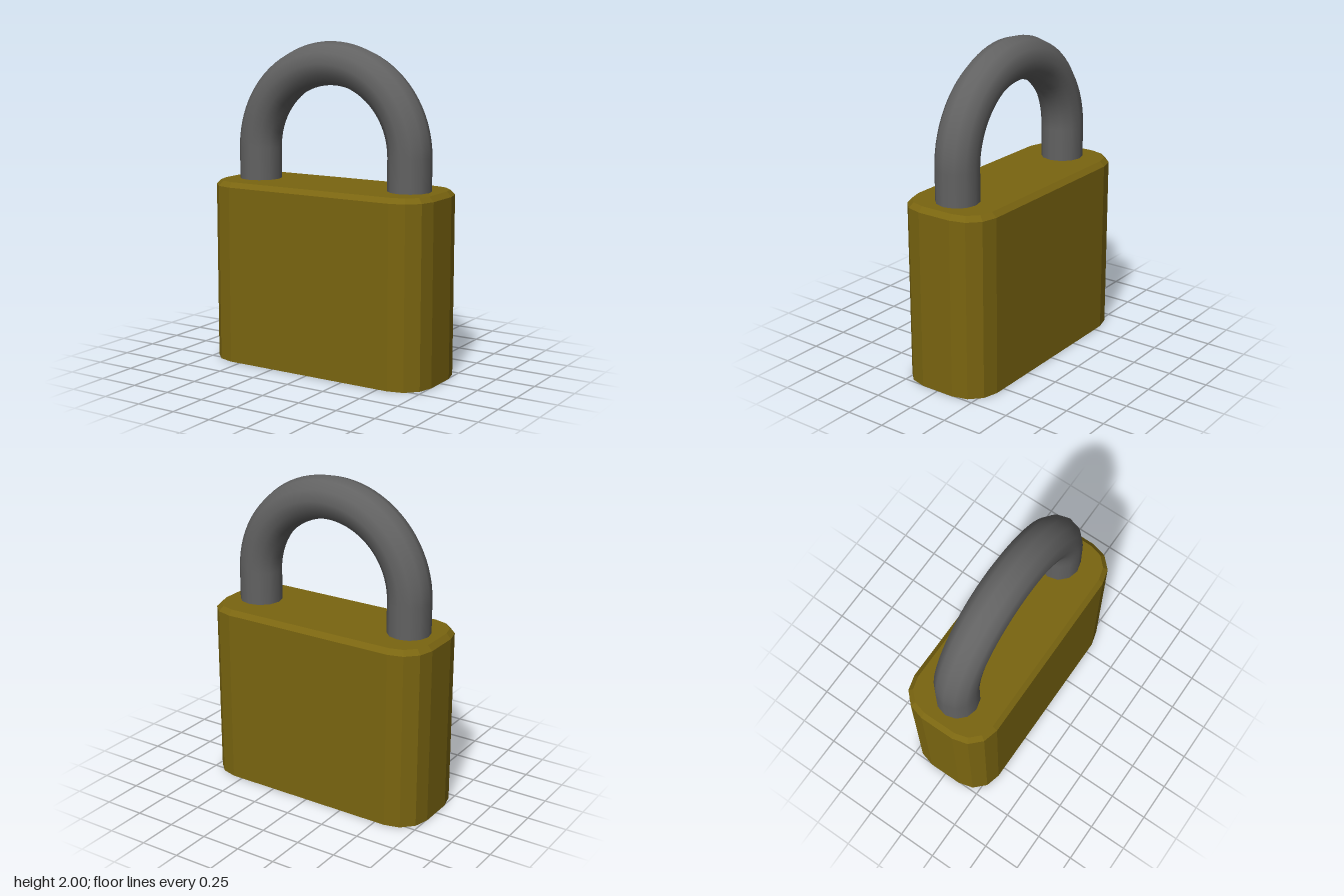
import * as THREE from 'three';

const brass = new THREE.MeshStandardMaterial({ color: 0x7a6510, flatShading: true });
const steel = new THREE.MeshStandardMaterial({ color: 0x626262 });

// Rounded-rectangle loop at height y, pulled in by inset; three facets per corner
function ring(y, inset) {
  const radius = 0.19, cx = 0.755 - radius, cz = 0.3 - radius, r = radius - inset;
  const signs = [[1, 1], [-1, 1], [-1, -1], [1, -1]];
  return signs.flatMap(([sx, sz], corner) => [0, 1, 2, 3].map((k) => {
    const a = (corner + k / 3) * Math.PI / 2;
    return [sx * cx + r * Math.cos(a), y, sz * cz + r * Math.sin(a)];
  }));
}

// Skin a stack of loops and close both ends
function loft(rings) {
  const n = rings[0].length, position = [];
  const bottom = rings[0], top = rings[rings.length - 1];
  const tri = (...corners) => corners.forEach((p) => position.push(...p));
  for (let i = 0; i < n; i++) {
    const j = (i + 1) % n;
    for (let s = 0; s < rings.length - 1; s++) {
      const lo = rings[s], hi = rings[s + 1];
      tri(lo[i], hi[i], lo[j]);
      tri(hi[i], hi[j], lo[j]);
    }
    tri([0, bottom[0][1], 0], bottom[i], bottom[j]);
    tri([0, top[0][1], 0], top[j], top[i]);
  }
  const geometry = new THREE.BufferGeometry();
  geometry.setAttribute('position', new THREE.Float32BufferAttribute(position, 3));
  geometry.computeVertexNormals();
  return geometry;
}

export function createModel() {
  const model = new THREE.Group();
  model.name = 'padlock';

  // Body: square bottom edge, chamfered top edge
  const body = new THREE.Mesh(loft([ring(0, 0), ring(1.105, 0), ring(1.135, 0.03)]), brass);
  body.name = 'body';
  model.add(body);

  // Shackle: half-ring bow on two straight legs that sink into the body
  const bend = 0.535, rod = 0.132, bowY = 1.333, legBase = 1.1;
  const shackle = new THREE.Group();
  shackle.name = 'shackle';
  const bow = new THREE.Mesh(new THREE.TorusGeometry(bend, rod, 12, 40, Math.PI), steel);
  bow.name = 'shackleBow';
  bow.position.y = bowY;
  shackle.add(bow);
  const legGeometry = new THREE.CylinderGeometry(rod, rod, bowY - legBase, 12, 1, true);
  for (const side of [1, -1]) {
    const leg = new THREE.Mesh(legGeometry, steel);
    leg.name = side > 0 ? 'leftLeg' : 'rightLeg';
    leg.position.set(side * bend, (bowY + legBase) / 2, 0);
    shackle.add(leg);
  }
  model.add(shackle);

  return model;
}
